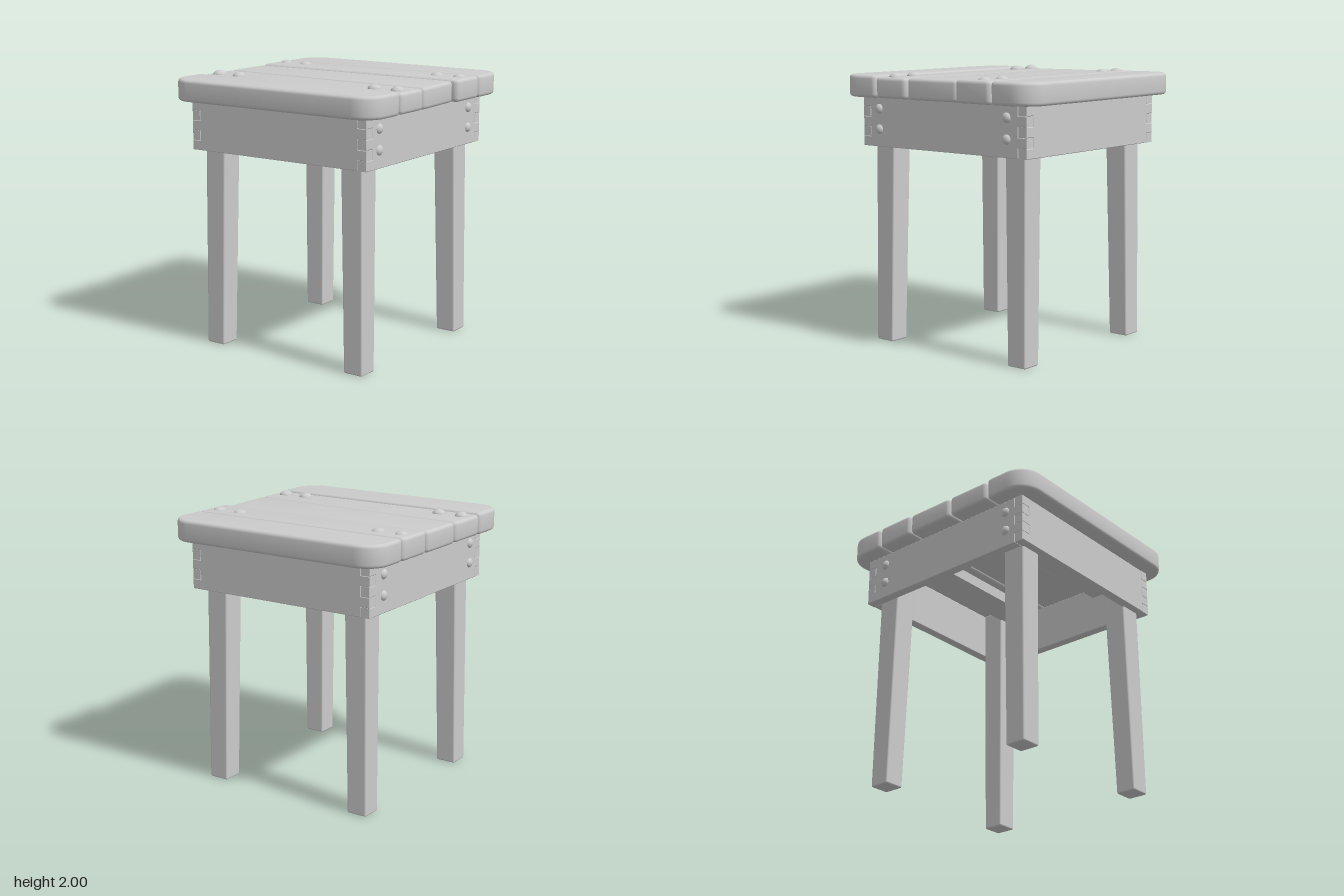
import * as THREE from 'three';
import { toCreasedNormals } from 'three/addons/utils/BufferGeometryUtils.js';
import { RoundedBoxGeometry } from 'three/addons/geometries/RoundedBoxGeometry.js';

const wood = new THREE.MeshStandardMaterial({ color: 0xcccccc });

function add(parent, name, geometry, x = 0, y = 0, z = 0) {
  const mesh = new THREE.Mesh(geometry, wood);
  mesh.name = name;
  mesh.position.set(x, y, z);
  parent.add(mesh);
  return mesh;
}

// Closed outline with a rounding radius at each corner: [x, y, radius]
function roundedShape(corners) {
  const shape = new THREE.Shape();
  const pts = corners.map(([x, y]) => new THREE.Vector2(x, y));
  const n = pts.length;
  pts.forEach((p, i) => {
    const r = corners[i][2];
    const a = pts[(i + n - 1) % n].clone().sub(p).setLength(r).add(p);
    const b = pts[(i + 1) % n].clone().sub(p).setLength(r).add(p);
    if (i === 0) shape.moveTo(a.x, a.y);
    else shape.lineTo(a.x, a.y);
    const k = 0.55;
    const c1 = a.clone().lerp(p, k), c2 = b.clone().lerp(p, k);
    shape.bezierCurveTo(c1.x, c1.y, c2.x, c2.y, b.x, b.y);
  });
  shape.closePath();
  return shape;
}

// Extrusion whose bevel stays inside the given outline and depth
function extrude(shape, depth, bevel, bevelSegments) {
  const geometry = new THREE.ExtrudeGeometry(shape, {
    depth: depth - 2 * bevel,
    bevelEnabled: true,
    bevelSize: bevel,
    bevelThickness: bevel,
    bevelOffset: -bevel,
    bevelSegments,
    curveSegments: 8,
  });
  geometry.translate(0, 0, bevel);
  return toCreasedNormals(geometry, 0.6);
}

// Seat board given as plan corners [x, z, radius]
function plank(parent, name, corners, bottom, top) {
  const shape = roundedShape(corners.map(([x, z, r = 0.035]) => [x, -z, r]));
  const geometry = extrude(shape, top - bottom, 0.025, 4);
  geometry.rotateX(-Math.PI / 2);
  add(parent, name, geometry, 0, bottom, 0);
}

// Apron board with box-joint fingers: 1, 3, 5 at one end and 2, 4 at the other
function apronGeometry() {
  const half = 0.757, thick = 0.073, y0 = 1.46, step = 0.072;
  const shape = new THREE.Shape();
  const inner = half - thick;
  const right = [], left = [];
  for (let i = 0; i < 5; i++) {
    const a = y0 + i * step, b = a + step;
    const xr = i % 2 ? half : inner;
    const xl = i % 2 ? -inner : -half;
    right.push([xr, a], [xr, b]);
    left.unshift([xl, b], [xl, a]);
  }
  [...right, ...left].forEach(([x, y], i) => (i ? shape.lineTo(x, y) : shape.moveTo(x, y)));
  shape.closePath();
  const geometry = extrude(shape, thick, 0.004, 1);
  geometry.translate(0, 0, inner);
  return geometry;
}

// Splayed leg, a little wider towards the top
function legGeometry(sx, sz) {
  const height = 1.82;
  const geometry = new RoundedBoxGeometry(0.155, height, 0.155, 3, 0.012);
  const pos = geometry.attributes.position;
  for (let i = 0; i < pos.count; i++) {
    const y = pos.getY(i) + height / 2;
    const t = y / height;
    const s = 1 + 0.16 * t;
    pos.setXYZ(i,
      pos.getX(i) * s + sx * (0.618 - 0.027 * t), y,
      pos.getZ(i) * s + sz * (0.626 - 0.024 * t) + 0.007);
  }
  return geometry;
}

export function createModel() {
  const model = new THREE.Group();
  model.name = 'stool';
  const e = 0.875;

  // Seat of five boards, the middle one cut askew
  const seat = new THREE.Group();
  seat.name = 'seat';
  model.add(seat);
  plank(seat, 'backPlank', [[-e, -0.535], [e, -0.535], [e, -0.878, 0.17], [-e, -0.878, 0.17]], 1.82, 1.98);
  plank(seat, 'innerBackPlank', [[-e, -0.224], [e, -0.224], [e, -0.533], [-e, -0.533]], 1.82, 1.98);
  plank(seat, 'middlePlank', [[-e, 0.167], [0.87, 0.225], [0.842, -0.219], [-e, -0.219]], 1.82, 1.972);
  plank(seat, 'innerFrontPlank', [[-e, 0.522], [e, 0.522], [e, 0.23], [-e, 0.172]], 1.822, 1.97);
  plank(seat, 'frontPlank', [[-e, 0.876, 0.17], [e, 0.876, 0.17], [e, 0.525], [-e, 0.525]], 1.82, 1.98);

  // Jointed apron, each side turned a quarter from the last
  const apron = new THREE.Group();
  apron.name = 'apron';
  model.add(apron);
  const board = apronGeometry();
  ['front', 'left', 'back', 'right'].forEach((side, i) => {
    add(apron, side + 'Apron', board).rotation.y = (i * Math.PI) / 2;
  });

  // Battens under the bolted boards
  for (const s of [-1, 1]) {
    add(model, s > 0 ? 'frontBatten' : 'backBatten', new THREE.BoxGeometry(1.37, 0.085, 0.23), 0, 1.78, s * 0.405);
  }

  // Legs
  for (const sx of [-1, 1]) for (const sz of [-1, 1]) {
    add(model, (sz > 0 ? 'front' : 'back') + (sx > 0 ? 'Left' : 'Right') + 'Leg', legGeometry(sx, sz));
  }

  // Domed bolt heads on the seat
  const dome = new THREE.SphereGeometry(1, 24, 16);
  for (const z of [-0.41, 0.412]) for (const x of [-0.785, -0.598, 0.59, 0.777]) {
    add(model, 'seatBolt', dome, x, 1.966, z).scale.set(0.049, 0.034, 0.049);
  }

  // Domed bolt heads on the two side aprons
  for (const s of [-1, 1]) for (const z of [-0.582, 0.6]) for (const y of [1.585, 1.733]) {
    add(model, 'sideBolt', dome, s * 0.75, y, z).scale.set(0.028, 0.037, 0.037);
  }
  return model;
}
